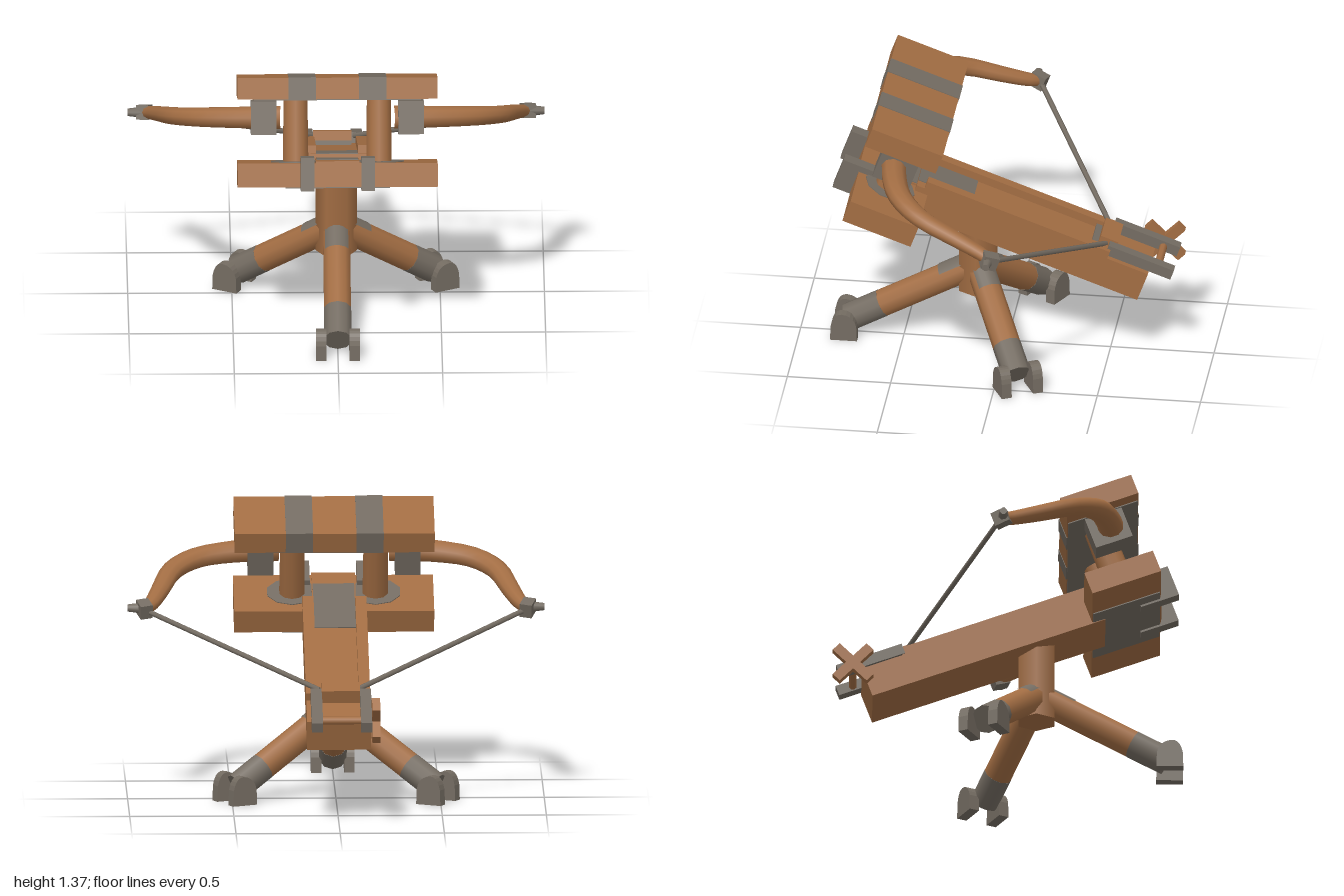
import * as THREE from 'three';

const wood = new THREE.MeshStandardMaterial({ color: 0xa26d43 });
wood.name = 'wood';
const iron = new THREE.MeshStandardMaterial({ color: 0x746c62 });
iron.name = 'iron';

function add(parent, name, geometry, material) {
  const mesh = new THREE.Mesh(geometry, material);
  mesh.name = name;
  parent.add(mesh);
  return mesh;
}

// Box given by its extents on each axis
function box(parent, name, material, [x0, x1], [y0, y1], [z0, z1]) {
  const mesh = add(parent, name, new THREE.BoxGeometry(x1 - x0, y1 - y0, z1 - z0), material);
  mesh.position.set((x0 + x1) / 2, (y0 + y1) / 2, (z0 + z1) / 2);
  return mesh;
}

// Round bar from a to b; an arc makes an open patch instead
function bar(parent, name, material, a, b, radius, sides = 10, arc) {
  const dir = b.clone().sub(a);
  const geometry = arc
    ? new THREE.CylinderGeometry(radius, radius, dir.length(), sides, 1, true, Math.PI - arc / 2, arc)
    : new THREE.CylinderGeometry(radius, radius, dir.length(), sides);
  const mesh = add(parent, name, geometry, material);
  mesh.position.copy(a).lerp(b, 0.5);
  mesh.quaternion.setFromUnitVectors(new THREE.Vector3(0, 1, 0), dir.normalize());
  return mesh;
}

// Curved bow limb: elliptical rings that shrink towards the tip
function limbGeometry(side) {
  const points = [[0.27, 0.86], [0.475, 0.84], [0.66, 0.78], [0.777, 0.66], [0.84, 0.473], [0.885, 0.34], [0.92, 0.28]];
  const curve = new THREE.CatmullRomCurve3(points.map(([x, z]) => new THREE.Vector3(side * x, 0.885, z)));
  const up = new THREE.Vector3(0, 1, 0);
  const rings = 18, sides = 10, positions = [], index = [];
  for (let i = 0; i <= rings; i++) {
    const t = i / rings;
    const p = curve.getPoint(t);
    const n = up.clone().cross(curve.getTangent(t)).normalize();
    const wide = 0.063 - 0.036 * t * t, tall = 0.058 - 0.03 * t;
    for (let k = 0; k < sides; k++) {
      const a = (k / sides) * Math.PI * 2;
      const v = p.clone().addScaledVector(n, wide * Math.cos(a)).addScaledVector(up, tall * Math.sin(a));
      positions.push(v.x, v.y, v.z);
      if (i < rings) {
        const q = i * sides + k, r = i * sides + ((k + 1) % sides);
        index.push(q, r, q + sides, r, r + sides, q + sides);
      }
    }
  }
  const geometry = new THREE.BufferGeometry();
  geometry.setAttribute('position', new THREE.Float32BufferAttribute(positions, 3));
  geometry.setIndex(index);
  geometry.computeVertexNormals();
  return geometry;
}

// Round-topped plate standing on the ground
function footPlateGeometry() {
  const s = new THREE.Shape();
  s.moveTo(-0.065, 0);
  s.lineTo(0.065, 0);
  s.lineTo(0.062, 0.075);
  s.quadraticCurveTo(0.05, 0.14, 0.01, 0.14);
  s.quadraticCurveTo(-0.05, 0.135, -0.062, 0.075);
  s.closePath();
  const geometry = new THREE.ExtrudeGeometry(s, { depth: 0.05, bevelEnabled: false, curveSegments: 5 });
  return geometry.translate(0, 0, -0.025).rotateY(-Math.PI / 2);
}

function addLeg(parent, name, yaw, reach) {
  const leg = new THREE.Group();
  leg.name = name;
  leg.position.z = 0.14;
  leg.rotation.y = yaw;
  parent.add(leg);
  const top = new THREE.Vector3(0, 0.415, 0);
  const end = new THREE.Vector3(0, 0.075, reach - 0.015);
  const at = (t) => top.clone().lerp(end, t);
  bar(leg, 'legBeam', wood, top, at(0.74), 0.068);
  bar(leg, 'legTip', iron, at(0.74), end, 0.069);
  bar(leg, 'legTopPatch', iron, at(0.06), at(0.26), 0.071, 5, 1.8);
  for (const side of [-1, 1]) {
    const plate = add(leg, 'footPlate', footPlateGeometry(), iron);
    plate.position.set(side * 0.08, 0, reach);
  }
}

export function createModel() {
  const model = new THREE.Group();
  model.name = 'ballista';

  // Stand
  const mast = add(model, 'mast', new THREE.CylinderGeometry(0.1, 0.1, 0.4, 6), wood);
  mast.geometry.rotateY(Math.PI / 6 * 3);
  mast.position.set(0, 0.48, 0.14);
  addLeg(model, 'frontLeg', 0, 0.64);
  addLeg(model, 'leftRearLeg', Math.PI * 0.653, 0.55);
  addLeg(model, 'rightRearLeg', -Math.PI * 0.653, 0.55);

  // Everything above the stand is pitched upwards
  const weapon = new THREE.Group();
  weapon.name = 'weapon';
  weapon.rotation.x = -Math.PI / 9;
  model.add(weapon);

  // Stock with a channel between two rails
  box(weapon, 'stock', wood, [-0.155, 0.152], [0.547, 0.7], [-0.49, 0.7]);
  box(weapon, 'stockNose', wood, [-0.105, 0.105], [0.557, 0.68], [0.7, 0.99]);
  box(weapon, 'channelPlate', iron, [-0.1, 0.1], [0.698, 0.704], [0.42, 0.7]);
  box(weapon, 'nosePlate', iron, [-0.1, 0.1], [0.678, 0.684], [0.7, 0.88]);

  // Lower and upper boards of the frame
  box(weapon, 'lowerBoard', wood, [-0.48, 0.48], [0.555, 0.67], [0.635, 0.985]);
  box(weapon, 'lowerBoardPlate', iron, [-0.25, 0.25], [0.55, 0.556], [0.64, 0.98]);
  box(weapon, 'upperBoard', wood, [-0.48, 0.48], [0.98, 1.083], [0.66, 1.024]);
  box(weapon, 'upperBoardPlate', iron, [-0.4, 0.4], [0.975, 0.981], [0.665, 1.02]);

  for (const side of [-1, 1]) {
    const span = (a, b) => (side > 0 ? [a, b] : [-b, -a]);
    box(weapon, 'rail', wood, span(0.1, 0.154), [0.69, 0.74], [-0.28, 0.66]);
    box(weapon, 'boardBand', iron, span(0.104, 0.235), [0.979, 1.086], [0.657, 1.027]);
    box(weapon, 'frontBracket', iron, span(0.113, 0.178), [0.54, 0.7], [0.88, 1.073]);

    // Posts on iron discs
    const post = add(weapon, 'post', new THREE.CylinderGeometry(0.06, 0.064, 0.33, 10), wood);
    post.position.set(side * 0.2, 0.825, 0.82);
    post.scale.z = 1.15;
    const disc = add(weapon, 'postDisc', new THREE.CylinderGeometry(0.125, 0.125, 0.008, 10), iron);
    disc.position.set(side * 0.2, 0.67, 0.82);

    // Bow limb, its clamp and tip
    box(weapon, 'limbClamp', iron, span(0.292, 0.415), [0.805, 0.965], [0.745, 0.932]);
    add(weapon, 'bowLimb', limbGeometry(side), wood);
    const clip = box(weapon, 'tipClip', iron, span(0.89, 0.95), [0.85, 0.92], [0.25, 0.325]);
    clip.rotation.y = side * 0.3;
    const tip = add(weapon, 'limbTip', new THREE.CylinderGeometry(0.018, 0.03, 0.09, 8), iron);
    tip.position.set(side * 0.955, 0.885, 0.297);
    tip.rotation.z = -side * Math.PI / 2;

    // Bowstring
    bar(weapon, 'bowstring', iron, new THREE.Vector3(side * 0.91, 0.882, 0.275),
      new THREE.Vector3(side * 0.09, 0.742, -0.25), 0.013, 6);
  }

  // Winch at the rear
  box(weapon, 'rightWinchArm', iron, [-0.158, -0.105], [0.705, 0.757], [-0.6, -0.265]);
  box(weapon, 'leftWinchArm', iron, [0.078, 0.132], [0.705, 0.757], [-0.6, -0.265]);
  box(weapon, 'stringBlock', wood, [-0.105, 0.08], [0.69, 0.765], [-0.305, -0.215]);
  box(weapon, 'stringCatch', iron, [-0.1, 0.08], [0.69, 0.72], [-0.215, -0.185]);
  bar(weapon, 'winchAxle', wood, new THREE.Vector3(-0.19, 0.728, -0.523), new THREE.Vector3(0.08, 0.728, -0.523), 0.019, 8);
  for (const turn of [1, -1]) {
    const spoke = add(weapon, 'winchSpoke', new THREE.BoxGeometry(0.04, 0.23, 0.048), wood);
    spoke.position.set(-0.178, 0.728, -0.523);
    spoke.rotation.x = turn * Math.PI / 4 + Math.PI / 9;
  }
  return model;
}
